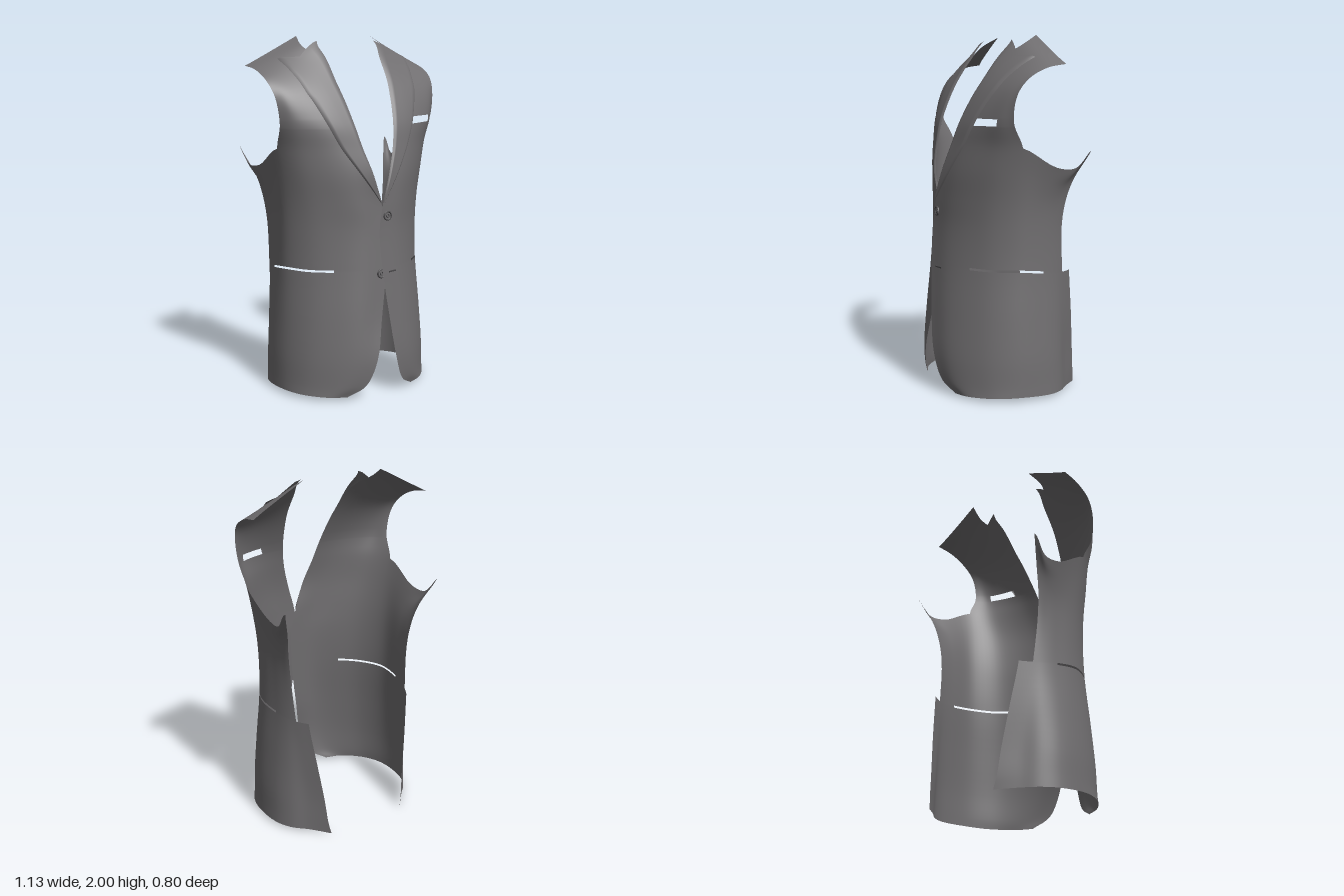
import * as THREE from 'three';

const cloth = new THREE.MeshStandardMaterial({ color: 0x716f71, side: THREE.DoubleSide });
cloth.name = 'grey cloth';
const dark = new THREE.MeshStandardMaterial({ color: 0x4a494b, side: THREE.DoubleSide });
dark.name = 'dark trim';

// Three guide lines, hem to shoulder: front edge, side seam (then armhole), back edge
const FRONT_EDGE = [
  [.22, .015, .33], [.125, .075, .375], [.065, .22, .40], [.02, .45, .395], [-.02, .735, .377],
  [-.03, .95, .362], [0, 1.10, .353], [.05, 1.25, .335], [.10, 1.40, .30], [.13, 1.53, .26],
  [.165, 1.72, .165], [.20, 1.87, .05], [.27, 1.945, -.05], [.252, 2, -.145],
];
const SIDE = [
  [.467, .025, .04], [.465, .08, .04], [.462, .22, .04], [.447, .45, .04], [.43, .725, .03],
  [.432, .95, .03], [.443, 1.10, .03], [.465, 1.26, .04], [.492, 1.40, .05], [.508, 1.535, .111],
  [.53, 1.68, .102], [.55, 1.765, .045], [.56, 1.82, -.055], [.567, 1.84, -.162],
];
const BACK_EDGE = [
  [.34, .01, -.305], [.342, .08, -.302], [.345, .22, -.295], [.365, .45, -.275], [.385, .692, -.25],
  [.405, .95, -.232], [.425, 1.10, -.245], [.45, 1.22, -.28], [.51, 1.38, -.355],
];
const ROWS = 13, COLS = 8, STEPS = 5, ARMHOLE_ROW = 8, VENT_ROW = 4;

const vec = a => new THREE.Vector3(...a);
const spline = pts => new THREE.CatmullRomCurve3(pts, false, 'centripetal');
const { lerp } = THREE.MathUtils;

// One cross-section: a rounded front quarter, then the side wrapping to the back and vent
function section(r, tuck) {
  const f = vec(FRONT_EDGE[r]), s = vec(SIDE[r]);
  const across = [0, .33, .63, .86, 1], depth = [0, .11, .33, .61, 1];
  const p = across.map((a, i) => new THREE.Vector3(lerp(f.x, s.x, a), lerp(f.y, s.y, a), lerp(f.z, s.z, depth[i])));
  if (r <= ARMHOLE_ROW) {
    const b = vec(BACK_EDGE[r]);
    const sag = .1 * Math.max(0, (r - 5) / 3) ** 2; // underarm scoop
    for (const [a, d] of [[.05, .5], [.4, .78]]) {
      p.push(new THREE.Vector3(lerp(s.x, b.x, a), lerp(s.y, b.y, d) - sag, lerp(s.z, b.z, d)));
    }
    p.push(b);
  } else {
    // guide points across the armhole, never meshed
    const k = r - ARMHOLE_ROW, top = vec(BACK_EDGE[ARMHOLE_ROW]);
    p.push(s.clone().multiplyScalar(2).sub(p[3]));
    for (const z of [.08, 0]) p.push(top.clone().add(new THREE.Vector3(.02 * k, .1 * k, z - .03 * k)));
  }
  const flare = Math.max(0, 1 - r / VENT_ROW);
  p.push(p[7].clone().add(new THREE.Vector3(-.04 - .05 * flare, -.01 * flare, -.065 - .03 * flare)));
  if (r >= 3 && r <= 6) p[0].z -= tuck;
  return p;
}

// Smooth surface of one panel: u counts columns from the front edge, v counts sections
function panelSurface(side) {
  const tuck = side > 0 ? 0 : .02; // the right panel passes under the left
  const rows = FRONT_EDGE.map((_, r) => section(r, tuck));
  const columns = rows[0].map((_, c) => spline(rows.map(row => row[c])));
  const cache = new Map();
  return (u, v) => {
    if (!cache.has(v)) cache.set(v, spline(columns.map(c => c.getPoint(v / ROWS))));
    return cache.get(v).getPoint(u / COLS);
  };
}

// Grid mesh from a point function, leaving out the cells for which skip is true
function patch(name, nu, nv, point, side, skip = () => false) {
  const pos = [], index = [];
  for (let j = 0; j <= nv; j++) {
    for (let i = 0; i <= nu; i++) {
      const p = point(i, j);
      pos.push(p.x * side, p.y, p.z);
    }
  }
  for (let j = 0; j < nv; j++) {
    for (let i = 0; i < nu; i++) {
      if (skip(i, j)) continue;
      const a = j * (nu + 1) + i, b = a + 1, c = a + nu + 1, d = c + 1;
      if (side > 0) index.push(a, b, d, a, d, c);
      else index.push(a, d, b, a, c, d);
    }
  }
  const g = new THREE.BufferGeometry();
  g.setAttribute('position', new THREE.Float32BufferAttribute(pos, 3));
  g.setIndex(index);
  g.computeVertexNormals();
  const mesh = new THREE.Mesh(g, cloth);
  mesh.name = name;
  return mesh;
}

// Body with armhole, back vent, hip pocket slit and (left only) breast pocket opening
function frontPanel(side, S) {
  const slit = [3.975, 4.025], pocket = [8.86, 9.12];
  const levels = [...slit, ...pocket];
  for (let k = 0; k <= ROWS * STEPS; k++) levels.push(k / STEPS);
  levels.sort((a, b) => a - b);
  const within = (x, [lo, hi]) => x > lo && x < hi;
  return patch(side > 0 ? 'leftFrontPanel' : 'rightFrontPanel', COLS * STEPS, levels.length - 1,
    (i, j) => S(i / STEPS, levels[j]), side, (i, j) => {
      const u = (i + .5) / STEPS, v = (levels[j] + levels[j + 1]) / 2;
      return (u > 4 && v > ARMHOLE_ROW) || (u > 7 && v > VENT_ROW)
        || (within(v, slit) && within(u, [2, 5]))
        || (side > 0 && within(v, pocket) && within(u, [1.2, 2.8]));
    });
}

// Lapel lying just over the body, with a notch in its top edge
function lapel(side, S) {
  const reach = [.03, .5, .93, 1.27, 1.68, 1.8, 1.68]; // outer seam, row by row
  const nu = 12, nv = 42;
  return patch(side > 0 ? 'leftLapel' : 'rightLapel', nu, nv, (i, j) => {
    const t = i / nu, e = .02;
    const notch = .5 * (1 - Math.abs(t - .5) * 2);
    const v = 6 + j / nv * (6 - notch);
    const k = Math.min(5, Math.floor(v - 6));
    const u = t * lerp(reach[k], reach[k + 1], v - 6 - k);
    const p = S(u, v);
    const du = S(u + e, v).sub(p), dv = p.clone().sub(S(u, v - e));
    const lift = i === 0 || i === nu ? 0 : .009;
    p.addScaledVector(du.cross(dv).normalize(), lift);
    // the inner corner stands away from the neck
    const stand = Math.max(0, (v - 10) / 2) ** 2 * (1 - t) ** 2;
    return p.add(new THREE.Vector3(-.08, .03, .025).multiplyScalar(stand));
  }, side);
}

function button(x, y, z) {
  const g = new THREE.Group();
  g.name = 'button';
  const disc = new THREE.Mesh(new THREE.CylinderGeometry(.026, .026, .006, 28), cloth);
  disc.rotation.x = Math.PI / 2;
  disc.name = 'buttonDisc';
  const rim = new THREE.Mesh(new THREE.TorusGeometry(.023, .004, 8, 28), dark);
  rim.position.z = .003;
  rim.name = 'buttonRim';
  const centre = new THREE.Mesh(new THREE.TorusGeometry(.009, .003, 6, 16), dark);
  centre.position.z = .003;
  centre.name = 'buttonCentre';
  g.add(disc, rim, centre);
  g.position.set(x, y, z);
  return g;
}

export function createModel() {
  const model = new THREE.Group();
  model.name = 'tailoredVest';
  for (const side of [1, -1]) {
    const surface = panelSurface(side);
    model.add(frontPanel(side, surface), lapel(side, surface));
  }

  // the upper button sits on the left panel, the lower one peeks out beneath it
  model.add(button(.025, 1.025, .358), button(-.018, .705, .363));

  const hole = new THREE.Mesh(new THREE.BoxGeometry(.055, .007, .006), dark);
  hole.name = 'buttonhole';
  hole.position.set(.058, .71, .364);
  hole.rotation.y = .2;
  model.add(hole);
  return model;
}
